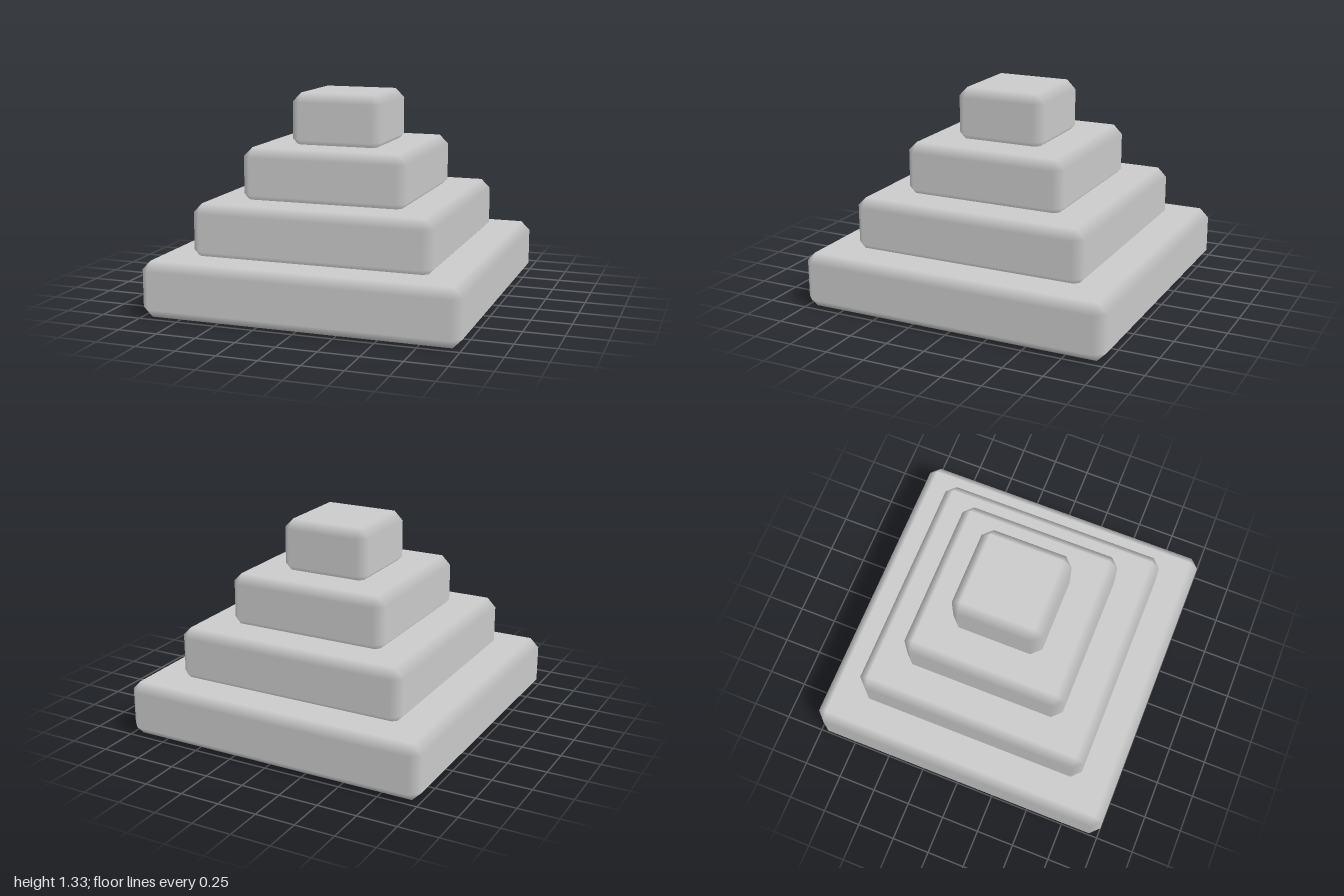
import * as THREE from 'three';
import { ConvexGeometry } from 'three/addons/geometries/ConvexGeometry.js';

const HEIGHT = 0.352;   // height of every tier
const STEP = 0.325;     // rise per tier; each sinks slightly into the one below
const BEVEL = 0.058;

// Box with single-step bevels, flat faces and softly shaded edges
function beveledBox(width, height, depth, bevel) {
  const half = [width / 2, height / 2, depth / 2];
  const points = [];
  for (let axis = 0; axis < 3; axis++)
    for (const sx of [-1, 1]) for (const sy of [-1, 1]) for (const sz of [-1, 1]) {
      const p = [sx, sy, sz].map((s, i) => s * (half[i] - (i === axis ? 0 : bevel)));
      points.push(new THREE.Vector3(...p));
    }
  const geometry = new ConvexGeometry(points);

  // Every corner keeps the normal of the flat face it belongs to
  const pos = geometry.attributes.position;
  const normal = geometry.attributes.normal;
  for (let i = 0; i < pos.count; i++) {
    const p = [pos.getX(i), pos.getY(i), pos.getZ(i)];
    const n = p.map((v, k) => (Math.abs(v) > half[k] - bevel / 2 ? Math.sign(v) : 0));
    normal.setXYZ(i, ...n);
  }
  return geometry;
}

export function createModel() {
  const model = new THREE.Group();
  model.name = 'steppedPyramid';
  const material = new THREE.MeshStandardMaterial({ color: 0xcccccc });

  // Square tiers, shrinking upward
  const names = ['baseTier', 'lowerTier', 'upperTier', 'topTier'];
  names.forEach((name, i) => {
    const width = 2 - i * 0.471;
    const tier = new THREE.Mesh(beveledBox(width, HEIGHT, width, BEVEL), material);
    tier.name = name;
    tier.position.y = HEIGHT / 2 + i * STEP;
    model.add(tier);
  });
  return model;
}
